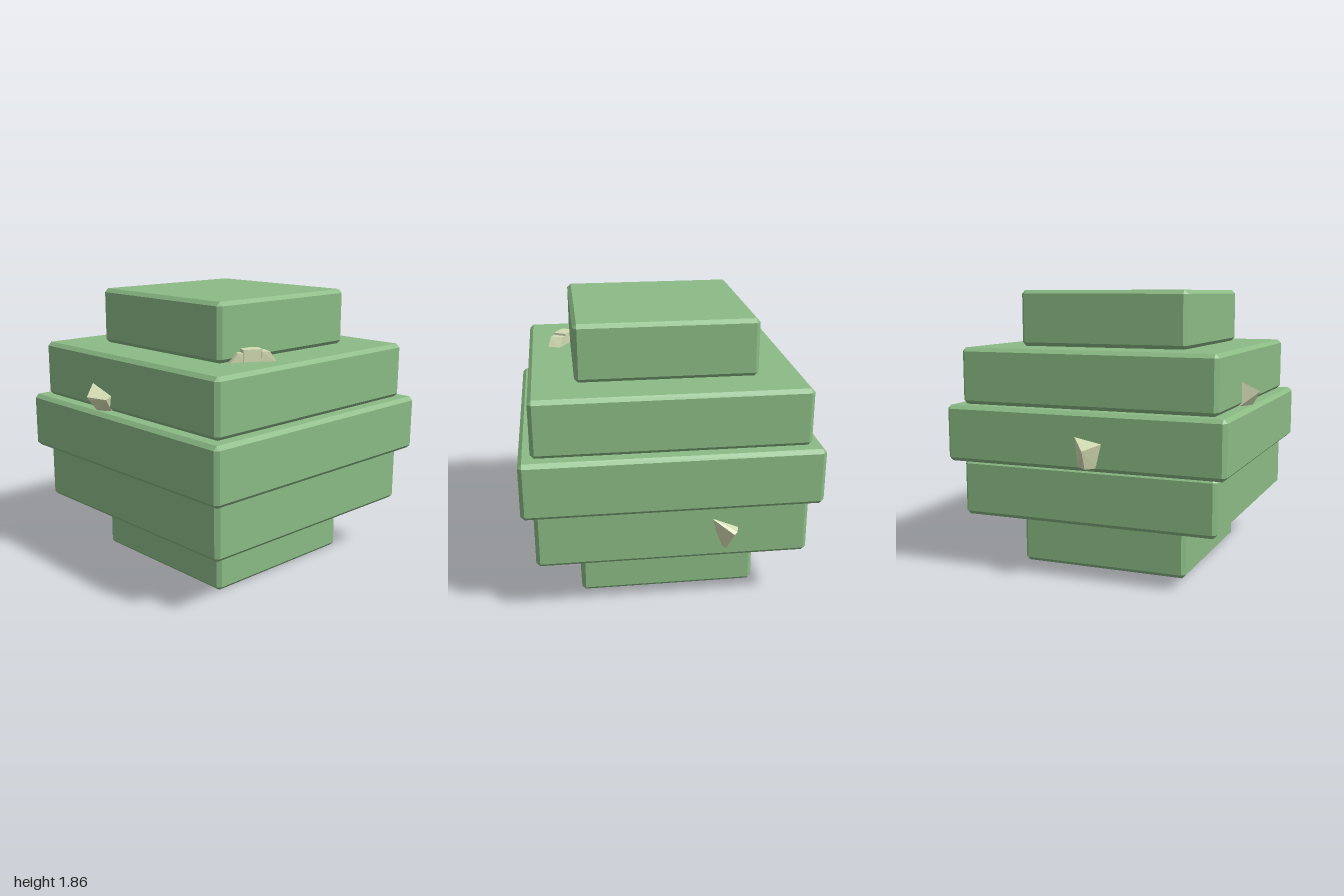
import * as THREE from 'three';
import { ConvexGeometry } from 'three/addons/geometries/ConvexGeometry.js';

const leaf = new THREE.MeshStandardMaterial({ color: 0x8bbb85, name: 'leafGreen', flatShading: true });
const stone = new THREE.MeshStandardMaterial({ color: 0xd3dbb2, name: 'paleStone', flatShading: true });

// Faceted solid spanned by its corner points
function hull(name, points, material) {
  const mesh = new THREE.Mesh(
    new ConvexGeometry(points.map((p) => new THREE.Vector3(...p))), material);
  mesh.name = name;
  return mesh;
}

// Square slab with chamfered edges: three corner points at each of eight corners
function slab(name, half, height) {
  const c = 0.025, h = height / 2, points = [];
  for (const x of [-1, 1]) for (const y of [-1, 1]) for (const z of [-1, 1]) {
    points.push([x * half, y * (h - c), z * (half - c)]);
    points.push([x * (half - c), y * h, z * (half - c)]);
    points.push([x * (half - c), y * (h - c), z * half]);
  }
  return hull(name, points, leaf);
}

export function createModel() {
  const model = new THREE.Group();
  model.name = 'steppedBush';

  // Five stacked slabs, widest in the middle
  const step = 0.372;
  [0.583, 0.872, 0.948, 0.872, 0.583].forEach((half, i) => {
    const mesh = slab('slab' + (i + 1), half, step);
    mesh.position.set(0.012, step * (i + 0.5), 0.05);
    model.add(mesh);
  });

  // Chip on the left side
  model.add(hull('leftChip', [
    [0.86, 0.67, -0.16], [0.86, 0.58, -0.37], [0.86, 0.43, -0.29], [0.86, 0.46, -0.24],
    [0.955, 0.56, -0.33], [0.94, 0.575, -0.35], [0.905, 0.44, -0.285],
  ], stone));

  // Chip on the back
  model.add(hull('backChip', [
    [0.05, 0.97, -0.88], [-0.16, 0.93, -0.88], [0.03, 0.77, -0.88], [-0.12, 0.77, -0.88],
    [-0.06, 0.89, -1.0], [-0.06, 0.77, -0.955],
  ], stone));

  // Chip on the right side
  model.add(hull('rightChip', [
    [-0.84, 1.29, -0.29], [-0.965, 1.21, -0.2], [-0.955, 1.19, -0.19], [-0.9, 1.2, -0.08],
    [-0.84, 1.23, -0.08], [-0.91, 1.12, -0.17], [-0.84, 1.11, -0.27], [-0.84, 1.11, -0.1],
  ], stone));

  // Chip lying on the upper ledge: raised middle block with a ramp at either end
  const ledge = new THREE.Group();
  ledge.name = 'ledgeChip';
  const y = 1.48;
  const block = [[-0.42, 0.685], [-0.31, 0.74], [-0.27, 0.665], [-0.38, 0.6]];
  ledge.add(hull('chipBlock', block.flatMap(([x, z]) => [[x, y, z], [x, 1.565, z]]), stone));
  ledge.add(hull('chipFrontRamp', [
    [-0.23, y, 0.79], [-0.19, y, 0.71], [-0.27, 1.55, 0.765], [-0.235, 1.55, 0.685],
    [-0.32, 1.55, 0.74], [-0.28, 1.55, 0.66], [-0.32, y, 0.74], [-0.28, y, 0.66],
  ], stone));
  ledge.add(hull('chipBackRamp', [
    [-0.5, y, 0.645], [-0.46, y, 0.57], [-0.45, 1.545, 0.67], [-0.41, 1.545, 0.59],
    [-0.41, 1.545, 0.685], [-0.37, 1.545, 0.61], [-0.41, y, 0.685], [-0.37, y, 0.61],
  ], stone));
  model.add(ledge);

  return model;
}
